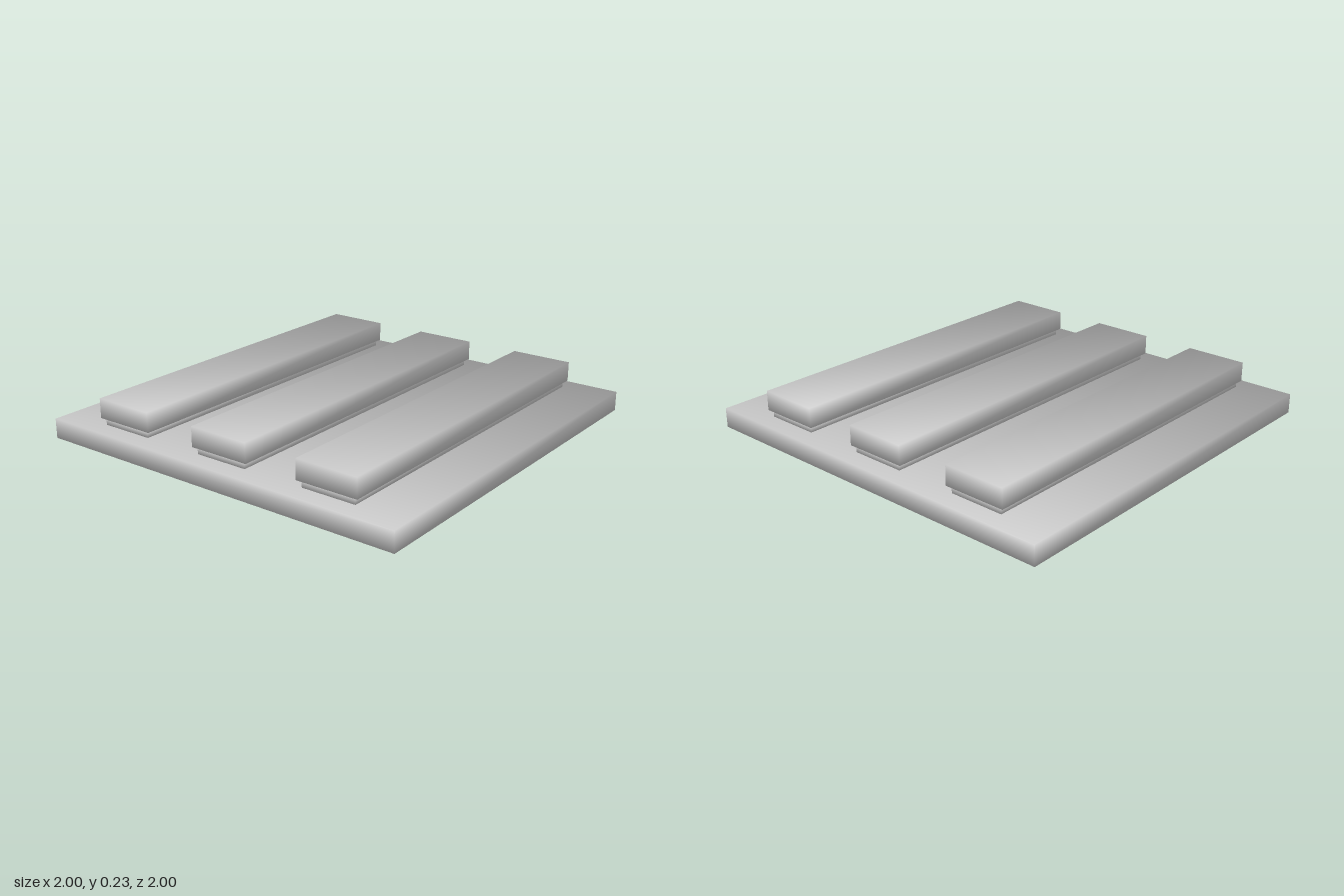
import * as THREE from 'three';

const material = new THREE.MeshStandardMaterial({ color: 0xcccccc });

// Box standing on height y, with soft shading: each corner normal points along its diagonal
function softBox(name, width, height, depth, y) {
  const geometry = new THREE.BoxGeometry(width, height, depth);
  const position = geometry.attributes.position;
  const normal = geometry.attributes.normal;
  const n = 1 / Math.sqrt(3);
  for (let i = 0; i < position.count; i++) {
    normal.setXYZ(
      i,
      Math.sign(position.getX(i)) * n,
      Math.sign(position.getY(i)) * n,
      Math.sign(position.getZ(i)) * n
    );
  }
  const mesh = new THREE.Mesh(geometry, material);
  mesh.name = name;
  mesh.position.y = y + height / 2;
  return mesh;
}

export function createModel() {
  const model = new THREE.Group();
  model.name = 'slattedPlate';

  // Square base plate
  model.add(softBox('basePlate', 2, 0.1, 2, 0));

  // Three raised slats, each on a slightly narrower neck
  for (const x of [-0.6, 0, 0.6]) {
    const slat = new THREE.Group();
    slat.name = 'slat';
    slat.position.x = x;
    slat.add(softBox('slatNeck', 0.28, 0.034, 1.81, 0.1));
    slat.add(softBox('slatTop', 0.32, 0.1, 1.84, 0.134));
    model.add(slat);
  }
  return model;
}
